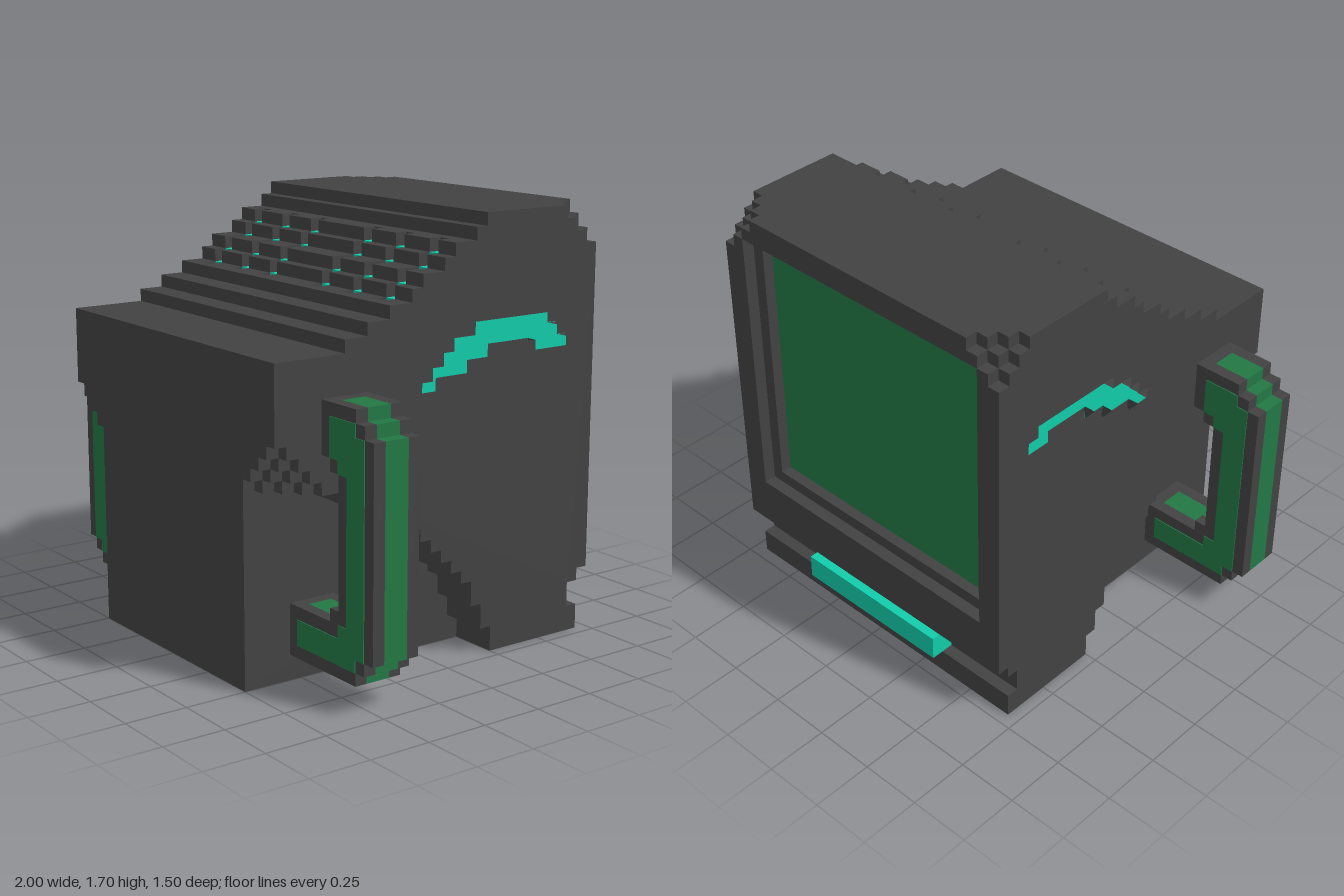
import * as THREE from 'three';

const CHARCOAL = new THREE.MeshStandardMaterial({ name: 'charcoal', color: 0x424242 });
const GREEN = new THREE.MeshStandardMaterial({ name: 'green', color: 0x227744 });
const TEAL = new THREE.MeshStandardMaterial({ name: 'teal', color: 0x11ccaa });

const U = 0.05; // step size of the blocky style

// Turn a list of [start, height] runs into staircase corners, finishing at `end`
function stairs(runs, end) {
  return runs.flatMap(([z, y], k) => [[z, y], [k + 1 < runs.length ? runs[k + 1][0] : end, y]]);
}

const toVectors = (pts, sx) => pts.map(([a, b]) => new THREE.Vector2(sx * a, b));

// Extrude a [z, y] outline sideways, from x0 to x1 on the given side
function sideSlab(name, pts, x0, x1, side, material, hole) {
  const shape = new THREE.Shape(toVectors(pts, -1));
  if (hole) shape.holes.push(new THREE.Path(toVectors(hole, -1)));
  const geo = new THREE.ExtrudeGeometry(shape, { depth: x1 - x0, bevelEnabled: false });
  geo.rotateY(Math.PI / 2).translate(side > 0 ? x0 : -x1, 0, 0);
  const mesh = new THREE.Mesh(geo, material);
  mesh.name = name;
  return mesh;
}

// Extrude an [x, y] outline from z0 to z1, mirrored by side
function frontSlab(name, pts, z0, z1, side, material) {
  const shape = new THREE.Shape(toVectors(pts, side));
  const geo = new THREE.ExtrudeGeometry(shape, { depth: z1 - z0, bevelEnabled: false });
  geo.translate(0, 0, z0);
  const mesh = new THREE.Mesh(geo, material);
  mesh.name = name;
  return mesh;
}

function box(name, x0, x1, y0, y1, z0, z1, material) {
  const mesh = new THREE.Mesh(new THREE.BoxGeometry(Math.abs(x1 - x0), y1 - y0, z1 - z0), material);
  mesh.position.set((x0 + x1) / 2, (y0 + y1) / 2, (z0 + z1) / 2);
  mesh.name = name;
  return mesh;
}

// Stepped roof, vent steps and the arch under the sides
const ROOF_FRONT = [[0.75, 1.25], [0.45, 1.3], [0.35, 1.35], [0.25, 1.4]];
const ROOF_MIDDLE = [[0.15, 1.45], [0.1, 1.5], [0, 1.55], [-0.05, 1.6]];
const ROOF_NOTCH = [[0.2, 1.3], [-0.1, 1.6]];
const ROOF_BACK = [[-0.15, 1.65], [-0.2, 1.7]];
const VENT = [[0.2, 1.35], [0.15, 1.4], [0.1, 1.45], [0, 1.5], [-0.05, 1.55]];
const ARCH = [[-0.7, 0], [-0.25, 0.1], [-0.2, 0.2], [-0.15, 0.3], [-0.1, 0.35], [-0.05, 0.4], [0, 0.45],
  [0.05, 0.5], [0.1, 0.55], [0.15, 0.6], [0.25, 0.65], [0.35, 0.7], [0.45, 0.75]];

// Curved marking sunk into each side
const MARK = [[0.1, 1.05], [0.1, 1.1], [0.05, 1.1], [0.05, 1.15], [0, 1.15], [0, 1.2], [-0.05, 1.2], [-0.05, 1.25],
  [-0.15, 1.25], [-0.15, 1.3], [-0.55, 1.3], [-0.55, 1.25], [-0.6, 1.25], [-0.6, 1.2], [-0.65, 1.2], [-0.65, 1.15],
  [-0.45, 1.15], [-0.45, 1.2], [-0.25, 1.2], [-0.25, 1.15], [-0.15, 1.15], [-0.15, 1.1], [0, 1.1], [0, 1.05]];

// Body outline at one slice; i counts steps inward from the outer side (4 or more is the core)
function bodyOutline(i, vent) {
  const top = [...ROOF_FRONT, ...(vent ? ROOF_NOTCH : ROOF_MIDDLE), ...ROOF_BACK];
  for (let j = 2 - i; j >= 0; j--) top.push([-0.75 + U * (j + 1), 1.7 - U * (3 - i - j)]);
  const pts = stairs(top, -0.75);
  // recessed screen opening
  if (i >= 2) {
    pts.push([-0.75, 1.6], [-0.7, 1.6]);
    if (i >= 3) pts.push([-0.7, 1.55], [-0.65, 1.55], [-0.65, 0.5], [-0.7, 0.5]);
    pts.push([-0.7, 0.45], [-0.75, 0.45]);
  }
  // groove along the lower back
  pts.push([-0.75, 0.25], [-0.7, 0.25], [-0.7, 0.2], [-0.65, 0.2], [-0.65, 0.1], [-0.7, 0.1]);
  // underside: flat in the core, arched with a stepped corner at the sides
  if (i >= 4) {
    pts.push([-0.7, 0], [0.75, 0]);
  } else {
    const under = [...ARCH];
    for (let j = 3 - i; j >= 0; j--) under.push([0.75 - U * (j + 1), 0.75 + U * (4 - i - j)]);
    pts.push(...stairs(under, 0.75));
  }
  return pts;
}

// Slices of half the body: [inner x, outer x, step index, has vent]
const SLICES = [[0, 0.15, 9], [0.15, 0.2, 9, true], [0.2, 0.35, 9], [0.35, 0.4, 9, true], [0.4, 0.5, 9],
  [0.5, 0.55, 3], [0.55, 0.6, 2, true], [0.6, 0.65, 1], [0.65, 0.7, 0]];

function bodyHalf(side) {
  const half = new THREE.Group();
  half.name = side > 0 ? 'leftBody' : 'rightBody';
  for (const [x0, x1, i, vent] of SLICES) {
    half.add(sideSlab('bodySlice', bodyOutline(i, vent), x0, x1, side, CHARCOAL, i === 0 ? MARK : null));
    if (vent) {
      const outline = [...stairs(VENT, -0.1), [-0.1, 1.3], [0.2, 1.3]];
      half.add(sideSlab('vent', outline, x0, x1, side, TEAL));
    }
  }
  half.add(sideSlab('sideMarking', MARK, 0.65, 0.655, side, TEAL));
  return half;
}

// Handle outlines as [x, y]; the ends at the body are set by the two arguments
const handleOutline = (upperEnd, lowerEnd) => [[upperEnd, 1.1], [0.9, 1.1], [0.9, 1.05], [0.95, 1.05], [0.95, 1], [1, 1],
  [1, 0.2], [0.95, 0.2], [0.95, 0.15], [0.9, 0.15], [0.9, 0.1], [lowerEnd, 0.1], [lowerEnd, 0.3], [0.75, 0.3],
  [0.75, 0.35], [0.8, 0.35], [0.8, 0.85], [0.75, 0.85], [0.75, 0.9], [upperEnd, 0.9]];
const HANDLE_INLAY = [[0.75, 1.05], [0.9, 1.05], [0.9, 1], [0.95, 1], [0.95, 0.2], [0.9, 0.2], [0.9, 0.15],
  [0.55, 0.15], [0.55, 0.25], [0.8, 0.25], [0.8, 0.3], [0.85, 0.3], [0.85, 0.85], [0.8, 0.85], [0.8, 0.9], [0.75, 0.9]];

function handle(side) {
  const group = new THREE.Group();
  group.name = side > 0 ? 'leftHandle' : 'rightHandle';
  const rim = handleOutline(0.7, 0.5);
  // the band's upper end stops just short of the rim's inner corner
  const band = handleOutline(0.751, 0.55).filter(([x, y]) => !(x === 0.75 && y === 0.9));
  group.add(
    frontSlab('handleRim', rim, 0.35, 0.4, side, CHARCOAL),
    frontSlab('handleBand', band, 0.4, 0.5, side, GREEN),
    frontSlab('handleRim', rim, 0.5, 0.55, side, CHARCOAL),
    frontSlab('handleInlay', HANDLE_INLAY, 0.55, 0.554, side, GREEN),
    frontSlab('handleInlay', HANDLE_INLAY, 0.346, 0.35, side, GREEN),
    box('upperMount', side * 0.7, side * 0.75, 0.9, 1.1, 0.4, 0.5, CHARCOAL),
    box('lowerMount', side * 0.5, side * 0.55, 0.1, 0.3, 0.4, 0.5, CHARCOAL),
  );
  return group;
}

export function createModel() {
  const model = new THREE.Group();
  model.name = 'model';
  for (const side of [1, -1]) model.add(bodyHalf(side), handle(side));
  // back panel and light bar
  model.add(
    box('backScreen', -0.55, 0.55, 0.5, 1.55, -0.655, -0.65, GREEN),
    box('backLightBar', -0.35, 0.35, 0.1, 0.2, -0.75, -0.65, TEAL),
  );
  return model;
}
